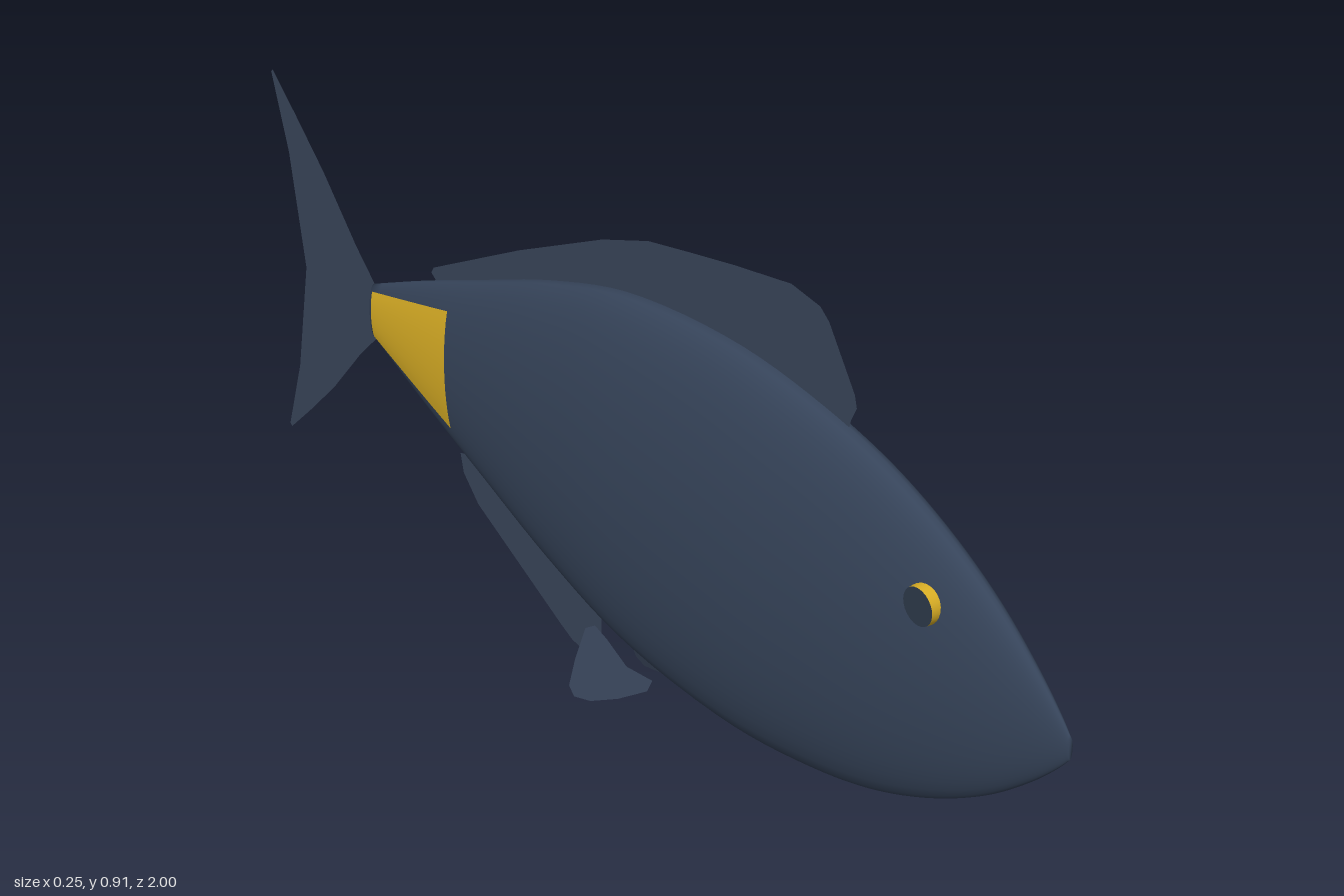
import * as THREE from 'three';

const MID_Y = 0.43;      // height of the body axis
const FLAT = 0.217;      // body width relative to its height

// body half-height along z, tail to nose
const PROFILE = new THREE.CatmullRomCurve3([
  [-0.71, 0.052], [-0.55, 0.122], [-0.4, 0.183], [-0.2, 0.262], [0, 0.32], [0.26, 0.34],
  [0.46, 0.318], [0.6, 0.284], [0.73, 0.23], [0.84, 0.165], [0.93, 0.092], [0.98, 0.042], [1, 0.018],
].map(([z, r]) => new THREE.Vector3(r, z, 0)));

export function createModel() {
  const mat = (name, color, side = THREE.FrontSide) => {
    const m = new THREE.MeshStandardMaterial({ color, side });
    m.name = name;
    return m;
  };
  const skin = mat('slate blue skin', 0x36445a);
  const finSkin = mat('slate blue fin', 0x384459, THREE.DoubleSide);
  const yellow = mat('yellow', 0xd9ae25, THREE.DoubleSide);
  const pupil = mat('dark eye', 0x2d394a);

  const fish = new THREE.Group();
  fish.name = 'fish';
  const add = (name, geometry, material) => {
    const mesh = new THREE.Mesh(geometry, material);
    mesh.name = name;
    fish.add(mesh);
    return mesh;
  };

  // body: lathe around z, flattened sideways
  const samples = PROFILE.getPoints(64);
  const outline = samples.map(p => new THREE.Vector2(p.x, p.y));
  outline.unshift(new THREE.Vector2(0, -0.711));
  outline.push(new THREE.Vector2(0, 1));
  const body = new THREE.LatheGeometry(outline, 40);
  body.rotateX(Math.PI / 2).scale(FLAT, 1, 1).translate(0, MID_Y, 0);
  add('body', body, skin);

  // thin upright fins, outlined as [z, y]
  const finGeometry = pts => {
    const shape = new THREE.Shape(pts.map(([z, y]) => new THREE.Vector2(z, y)));
    return new THREE.ShapeGeometry(shape).rotateY(-Math.PI / 2);
  };
  add('dorsalFin', finGeometry([
    [0.51, 0.72], [0.518, 0.75], [0.53, 0.775], [0.525, 0.795], [0.465, 0.89], [0.445, 0.907], [0.38, 0.918],
    [0.25, 0.897], [0.14, 0.876], [0.045, 0.857], [-0.07, 0.815], [-0.29, 0.71], [-0.53, 0.584],
    [-0.537, 0.572], [-0.52, 0.56], [-0.5, 0.53], [0, 0.65], [0.3, 0.7],
  ]), finSkin);
  add('analFin', finGeometry([
    [-0.08, 0.16], [-0.08, 0.055], [-0.092, 0.038], [-0.115, 0.028], [-0.16, 0.035], [-0.19, 0.05],
    [-0.42, 0.178], [-0.46, 0.222], [-0.468, 0.257], [-0.44, 0.265], [-0.4, 0.3], [-0.2, 0.22],
  ]), finSkin);
  add('tailFin', finGeometry([
    [-0.7, 0.475], [-0.76, 0.535], [-0.85, 0.64], [-0.93, 0.72], [-0.995, 0.782], [-1, 0.777], [-0.957, 0.64],
    [-0.92, 0.43], [-0.957, 0.22], [-1, 0.083], [-0.995, 0.078], [-0.93, 0.14], [-0.85, 0.22],
    [-0.76, 0.325], [-0.7, 0.385],
  ]), finSkin);

  // half-height of the body at a given z
  const halfHeight = z => {
    const i = Math.max(1, samples.findIndex(p => p.y >= z));
    const a = samples[i - 1], b = samples[i];
    return THREE.MathUtils.mapLinear(z, a.y, b.y, a.x, b.x);
  };

  for (const side of [1, -1]) {
    const label = side > 0 ? 'left' : 'right';

    // pelvic fins, splayed outwards towards the bottom
    const pelvic = finGeometry([
      [0.105, 0.105], [0.1, 0.085], [0.04, 0.045], [-0.02, 0.014], [-0.06, 0.004], [-0.078, 0.015],
      [-0.08, 0.06], [-0.075, 0.115], [-0.055, 0.128], [-0.02, 0.12], [0.04, 0.1],
    ]);
    const q = pelvic.attributes.position;
    for (let i = 0; i < q.count; i++) q.setX(i, side * (0.034 + (0.125 - q.getY(i)) * 0.33));
    pelvic.computeVertexNormals();
    add(label + 'PelvicFin', pelvic, finSkin);

    // yellow patch wrapped on the tail root
    const patch = new THREE.PlaneGeometry(1, 1, 16, 12);
    const p = patch.attributes.position;
    for (let i = 0; i < p.count; i++) {
      const u = p.getX(i) + 0.5, v = p.getY(i) * 2;
      const z = -0.456 - 0.246 * u;
      const y = v * THREE.MathUtils.lerp(0.111, 0.043, u);
      const h = halfHeight(z);
      p.setXYZ(i, side * (FLAT * Math.sqrt(h * h - y * y) + 0.002), MID_Y + y, z);
    }
    if (side < 0) patch.index.array.reverse();
    patch.computeVertexNormals();
    add(label + 'TailPatch', patch, yellow);

    // eye: dark disc with a yellow rim
    const eye = add(label + 'Eye', new THREE.CylinderGeometry(0.031, 0.033, 0.022, 24), [yellow, pupil, pupil]);
    eye.rotation.z = -side * Math.PI / 2;
    eye.position.set(side * 0.041, 0.555, 0.73);
  }

  // single pectoral fin: a blade fanned out from its root
  const rim = [
    [0.078, 0.388, 0.43], [0.095, 0.345, 0.25], [0.11, 0.322, 0.15], [0.128, 0.296, 0.06], [0.14, 0.289, 0.042],
    [0.158, 0.283, 0.07], [0.177, 0.276, 0.12], [0.174, 0.281, 0.17], [0.142, 0.315, 0.25], [0.1, 0.364, 0.36],
  ];
  const blade = new THREE.BufferGeometry();
  blade.setAttribute('position', new THREE.Float32BufferAttribute([0.074, 0.392, 0.44, ...rim.flat()], 3));
  const faces = [];
  for (let i = 1; i < rim.length; i++) faces.push(0, i + 1, i);
  blade.setIndex(faces);
  blade.computeVertexNormals();
  add('leftPectoralFin', blade, finSkin);

  // the pectoral fin sticks out on one side, so the body sits off centre
  fish.position.x = -0.053;
  const model = new THREE.Group();
  model.name = 'model';
  model.add(fish);
  return model;
}
